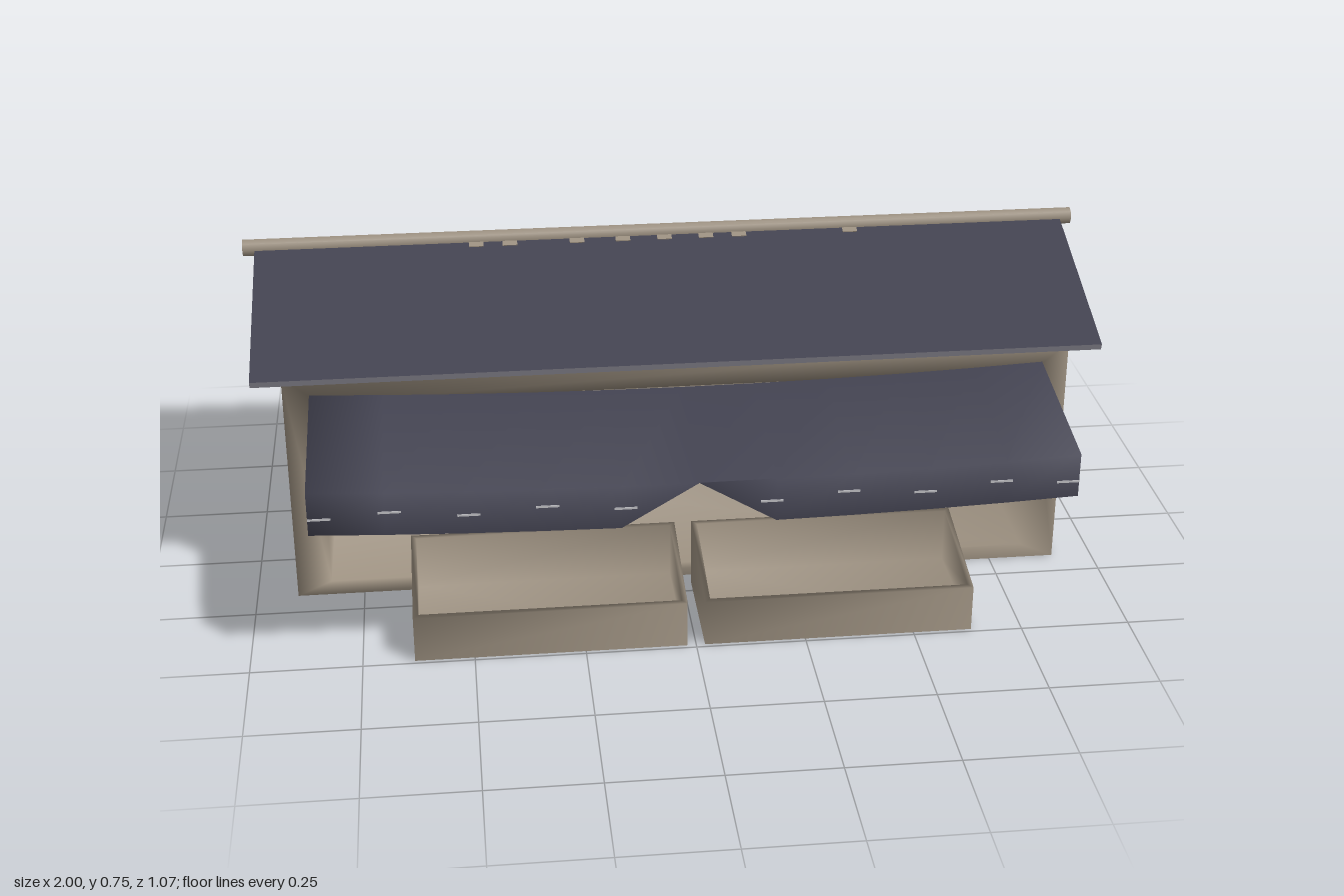
import * as THREE from 'three';

const mat = (name, color, side = THREE.FrontSide) => {
  const m = new THREE.MeshStandardMaterial({ color, side });
  m.name = name;
  return m;
};

// Smooth surface from corner points and polygon faces (fan triangulated)
function surface(points, faces) {
  const index = [];
  for (const f of faces)
    for (let i = 1; i < f.length - 1; i++) index.push(f[0], f[i], f[i + 1]);
  const g = new THREE.BufferGeometry();
  g.setAttribute('position', new THREE.Float32BufferAttribute(points.flat(), 3));
  g.setIndex(index);
  g.computeVertexNormals();
  return g;
}

// House shell: gabled walls, framed front opening and the room behind it
function wallsGeometry() {
  const profile = [[0.175, 0], [-0.5, 0], [-0.5, 0.585], [-0.225, 0.71], [0.175, 0.565]];
  const points = [];
  for (const x of [0.905, -0.905]) for (const [z, y] of profile) points.push([x, y, z]);
  for (const z of [0.175, -0.42])
    points.push([0.825, 0.035, z], [-0.825, 0.035, z], [-0.825, 0.5, z], [0.825, 0.5, z]);
  const faces = [
    [0, 1, 2, 3, 4], [9, 8, 7, 6, 5], [1, 6, 7, 2],                  // sides, back
    [5, 0, 10, 11], [0, 4, 13, 10], [4, 9, 12, 13], [9, 5, 11, 12], // front frame
    [15, 14, 17, 16],                                               // room back
  ];
  for (let i = 0; i < 4; i++) {
    const a = 10 + i, b = 10 + (i + 1) % 4;
    faces.push([a, a + 4, b + 4, b]);
  }
  return surface(points, faces);
}

// Sagging awning with a hanging front, a central notch and side panels
const sag = x => 0.022 * (1 - (x / 0.845) ** 2);
function awningGeometry() {
  const half = [0.845, 0.68, 0.51, 0.34, 0.17];
  const xs = [...half.map(x => -x), 0, ...half.slice().reverse()];
  const points = [], faces = [];
  xs.forEach((x, j) => {
    const s = sag(x), hem = x === 0 ? 0.437 : 0.357 - s;
    points.push([x, 0.52 - s, 0.175], [x, 0.46 - s, 0.533], [x, hem, 0.533]);
    if (j === 0) return;
    for (let r = 0; r < 2; r++) {
      const a = (j - 1) * 3 + r, b = j * 3 + r;
      faces.push([a + 1, b + 1, b, a]);
    }
  });
  const n = points.length;
  points.push([-0.845, 0.357, 0.175], [0.845, 0.357, 0.175]);
  faces.push([n, 2, 1, 0], [n - 1, n + 1, n - 3, n - 2]);
  return surface(points, faces);
}

// Open display bin with a sloping rim
function binGeometry() {
  const w = 0.307, t = 0.012, front = 0.49, back = 0.21;
  const points = [], faces = [];
  const ring = (inset, yFront, yBack) => {
    const x = w - inset, f = front - inset, b = back + inset;
    points.push([x, yFront, f], [x, yBack, b], [-x, yBack, b], [-x, yFront, f]);
  };
  ring(0, 0, 0);
  ring(0, 0.11, 0.165);
  ring(t, 0.112, 0.163);
  ring(t, 0.035, 0.035);
  for (let r = 0; r < 3; r++)
    for (let i = 0; i < 4; i++) {
      const a = r * 4 + i, b = r * 4 + (i + 1) % 4;
      faces.push([a, b, b + 4, a + 4]);
    }
  faces.push([12, 13, 14, 15]);
  return surface(points, faces);
}

export function createModel() {
  const model = new THREE.Group();
  model.name = 'marketStall';
  const plaster = mat('plaster', 0x9c9080, THREE.DoubleSide);
  const slate = mat('slate', 0x424250);
  const cloth = mat('awningCloth', 0x424250, THREE.DoubleSide);
  const edge = mat('roofEdge', 0x94939e);
  const glass = mat('tealGlass', 0x5c9184);
  const fray = mat('paleFray', 0xc4c4c8);

  const add = (name, geo, material, x = 0, y = 0, z = 0, parent = model) => {
    const m = new THREE.Mesh(geo, material);
    m.name = name;
    m.position.set(x, y, z);
    parent.add(m);
    return m;
  };

  add('walls', wallsGeometry(), plaster);

  // Roof slopes with pale edges
  const ridge = { y: 0.722, z: -0.225 };
  const slope = (name, z, y) => {
    const dz = z - ridge.z, dy = y - ridge.y;
    const geo = new THREE.BoxGeometry(1.944, 0.016, Math.hypot(dz, dy));
    const m = add(name, geo, [edge, edge, slate, slate, edge, edge],
      0, (y + ridge.y) / 2, (z + ridge.z) / 2);
    m.rotation.x = -Math.atan(dy / dz);
    return m;
  };
  const frontRoof = slope('frontRoof', 0.211, 0.568);
  slope('backRoof', -0.532, 0.586);

  // Ridge beam
  add('ridgeBeam', new THREE.CylinderGeometry(0.021, 0.021, 2, 8), plaster, 0, 0.724, ridge.z)
    .rotation.z = Math.PI / 2;

  // Small mortar patches under the beam
  for (const x of [-0.45, -0.37, -0.21, -0.1, 0, 0.1, 0.18, 0.45])
    add('mortarPatch', new THREE.BoxGeometry(0.035, 0.003, 0.016), plaster, x, 0.0085, -0.203, frontRoof);

  // Awning and its frayed marks
  add('awning', awningGeometry(), cloth);
  [0.16, 0.33, 0.5, 0.67, 0.82].forEach((x, i) => {
    for (const s of [-1, 1])
      add('awningFray', new THREE.BoxGeometry(0.05, 0.005, 0.002), fray,
        s * x, i % 2 ? 0.408 - sag(x) / 2 : 0.395 - sag(x) / 2, 0.5335);
  });
  for (const s of [-1, 1])
    for (const [z, y] of [[0.455, 0.43], [0.285, 0.426], [0.37, 0.396]])
      add('awningSideFray', new THREE.BoxGeometry(0.002, 0.005, 0.04), fray, s * 0.8455, y, z);

  // Display bins
  const bin = binGeometry();
  for (const s of [-1, 1]) add('displayBin', bin, plaster, s * 0.327, 0, 0);

  // Paired back windows
  const pane = new THREE.BoxGeometry(0.058, 0.245, 0.006);
  for (const x of [-0.465, -0.385, 0.385, 0.465]) add('backWindow', pane, glass, x, 0.307, -0.501);

  return model;
}
